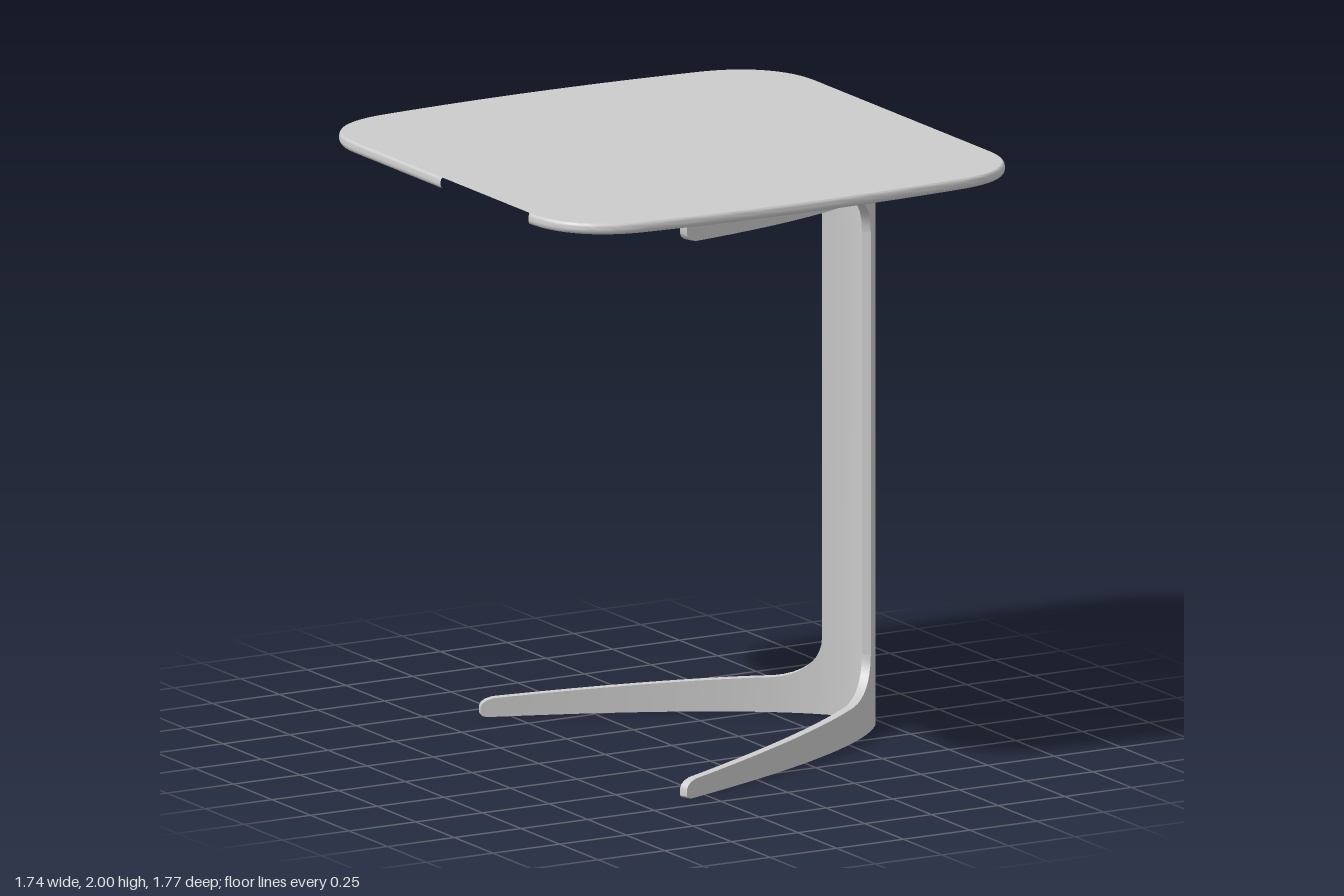
import * as THREE from 'three';
import { toCreasedNormals } from 'three/addons/utils/BufferGeometryUtils.js';

const H = 1.92;        // frame height
const T = 0.03;        // frame wall thickness
const COL = 0.15;      // half width of the column
const FILLET = 0.255;  // height where the fillet meets the column

// Builds a smooth geometry from a grid of rows of points, with optional end caps for closed rows
function loft(rows, closed) {
  const pos = [], n = rows[0].length;
  const tri = (a, b, c) => pos.push(...a, ...b, ...c);
  for (let i = 0; i < rows.length - 1; i++) {
    for (let k = 0; k < (closed ? n : n - 1); k++) {
      const m = (k + 1) % n, A = rows[i], B = rows[i + 1];
      tri(A[k], A[m], B[k]);
      tri(A[m], B[m], B[k]);
    }
  }
  if (closed) {
    const s = rows[0], e = rows[rows.length - 1];
    for (let k = 1; k < n - 1; k++) {
      tri(s[0], s[k + 1], s[k]);
      tri(e[0], e[k], e[k + 1]);
    }
  }
  const g = new THREE.BufferGeometry();
  g.setAttribute('position', new THREE.Float32BufferAttribute(pos, 3));
  return toCreasedNormals(g, 0.6);
}

// Plan curve of the frame: a rounded nose sweeping back into two legs
const planX = z => 0.75 - 0.45 * (Math.hypot(z, 0.04) - 0.04) - 1.75 * z * z;
const planSlope = z => -0.45 * z / Math.hypot(z, 0.04) - 3.5 * z;

// Bent wall from stations [z, bottom, top]
function wall(stations) {
  return loft(stations.map(([z, y0, y1]) => {
    const x = planX(z), s = planSlope(z), l = Math.hypot(1, s);
    const xi = x - T / l, zi = z + T * s / l;
    return [[x, y0, z], [x, y1, z], [xi, y1, zi], [xi, y0, zi]];
  }), true);
}

// Stations of the foot: fillet, tapering leg, rounded tip
function footStations() {
  const half = [];
  for (let i = 0; i <= 10; i++) {
    const a = i / 10 * Math.PI / 2;
    half.push([COL + 0.13 * (1 - Math.cos(a)), 0, FILLET - 0.14 * Math.sin(a)]);
  }
  for (let i = 1; i <= 16; i++) {
    const z = 0.28 + 0.38 * i / 16;
    half.push([z, 0, 0.062 + 0.066 * (planX(z) + 0.3)]);
  }
  half.push([0.668, 0, 0.056], [0.673, 0.004, 0.046], [0.675, 0.01, 0.034]);
  const mid = columnStations(0, FILLET).slice(1, -1);
  return [...half.map(([z, a, b]) => [-z, a, b]).reverse(), ...mid, ...half];
}

function columnStations(y0, y1) {
  return Array.from({ length: 25 }, (_, i) => [COL * (i / 12 - 1), y0, y1]);
}

// Front half of the tabletop outline, from right straight edge to left straight edge
function outlineHalf() {
  const path = new THREE.Path();
  path.moveTo(0.868, 0.57);
  path.bezierCurveTo(0.868, 0.74, 0.76, 0.845, 0.6, 0.86);
  path.quadraticCurveTo(0, 0.915, -0.6, 0.86);
  path.bezierCurveTo(-0.76, 0.845, -0.868, 0.74, -0.868, 0.57);
  return path.getPoints(20);
}

// Thin half-round lip hanging from the edge of the tabletop
function rim(points) {
  return loft(points.map(p => Array.from({ length: 9 }, (_, i) => {
    const a = i / 8 * Math.PI, s = 1 + 0.009 * (Math.sin(a) - 1);
    return [p.x * s, 1.982 + 0.018 * Math.cos(a), p.y * s];
  })), false);
}

export function createModel() {
  const group = new THREE.Group();
  const grey = new THREE.MeshStandardMaterial({ color: 0xcccccc, side: THREE.DoubleSide });
  grey.name = 'light grey';
  const add = (name, geometry) => {
    const mesh = new THREE.Mesh(geometry, grey);
    mesh.name = name;
    group.add(mesh);
  };

  // Frame: foot, column and a mirrored top bracket
  const foot = footStations();
  add('foot', wall(foot));
  add('column', wall(columnStations(FILLET, H - FILLET)));
  add('topBracket', wall(foot.map(([z, y0, y1]) => [z, H - y1, H - y0])));

  // Tabletop sheet
  const front = outlineHalf();
  const back = front.map(p => new THREE.Vector2(p.x, -p.y)).reverse();
  const sheet = [...front, ...back].map(p => p.clone().multiplyScalar(0.991));
  const top = new THREE.ShapeGeometry(new THREE.Shape(sheet));
  top.rotateX(-Math.PI / 2).translate(0, 2, 0);
  add('tabletop', top);

  // Rim, open along the column side and half of the opposite side
  add('frontRim', rim(front));
  add('backRim', rim([new THREE.Vector2(-0.868, 0), ...back]));
  return group;
}
